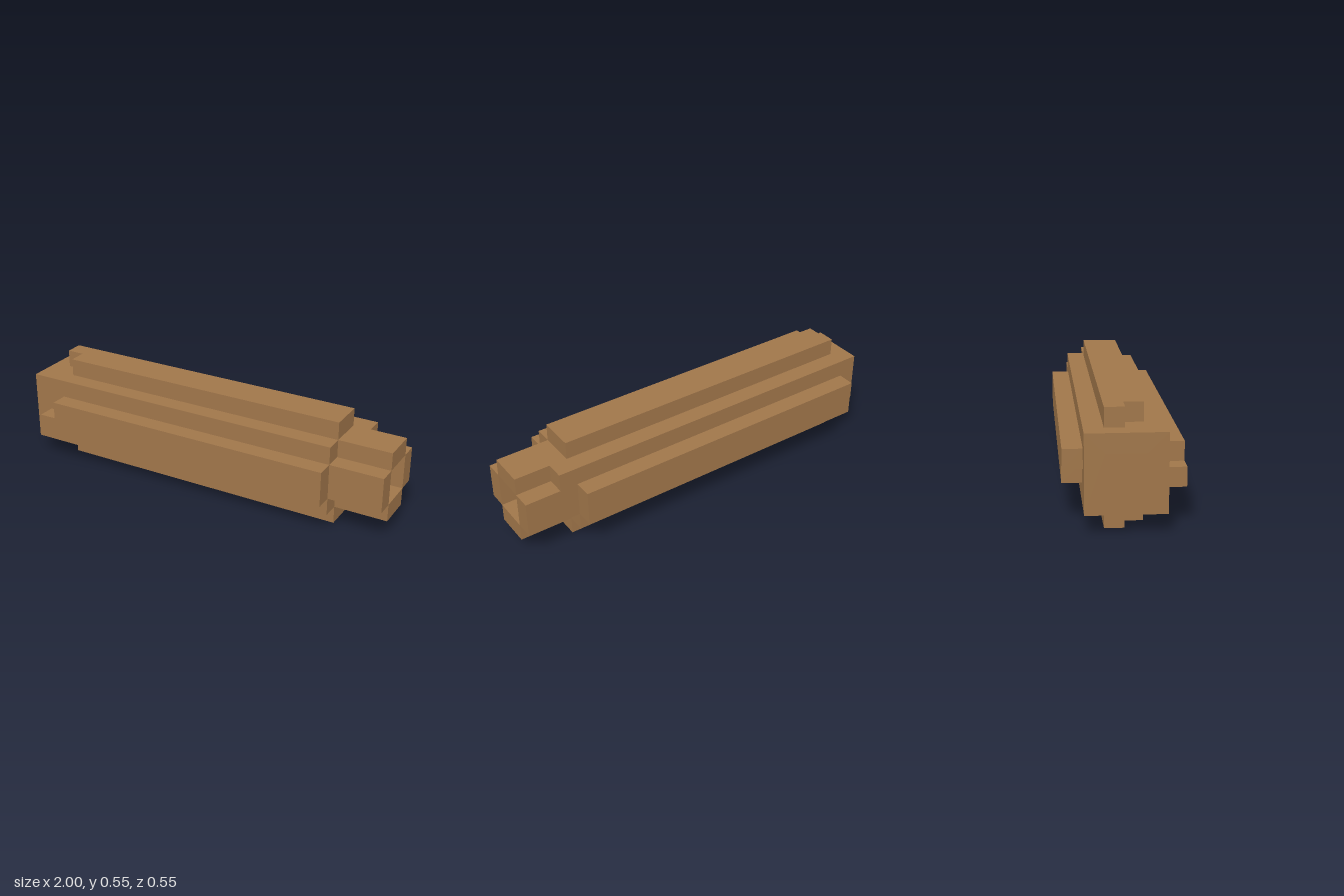
import * as THREE from 'three';

const U = 2 / 22; // one voxel

export function createModel() {
  const log = new THREE.Group();
  log.name = 'log';
  const bark = new THREE.MeshStandardMaterial({ color: 0xa0764a });
  bark.name = 'bark brown';

  // All parts are laid out in voxels: length 0..22 along x, cross-section centred on the axis
  const body = new THREE.Group();
  body.name = 'logBody';
  body.scale.setScalar(U);
  body.position.set(-1, 3 * U, 0);
  log.add(body);

  const add = (name, geometry) => {
    const mesh = new THREE.Mesh(geometry, bark);
    mesh.name = name;
    body.add(mesh);
    return mesh;
  };
  const box = (name, x0, x1, y0, y1, z0, z1) =>
    add(name, new THREE.BoxGeometry(x1 - x0, y1 - y0, z1 - z0)
      .translate((x0 + x1) / 2, (y0 + y1) / 2, (z0 + z1) / 2));
  const outline = (points) => points.map(([x, y]) => new THREE.Vector2(x, y));
  const square = (r) => outline([[-r, -r], [r, -r], [r, r], [-r, r]]);

  // Square trunk with a hollow at the right end
  const trunk = new THREE.Shape(square(2));
  trunk.holes.push(new THREE.Path(square(1).reverse()));
  add('trunk', new THREE.ExtrudeGeometry(trunk, { depth: 19, bevelEnabled: false })
    .rotateY(Math.PI / 2));
  box('heartwood', 0, 18, -1, 1, -1, 1);
  box('hollowStep', 18, 19, 0, 1, -1, 1);

  // Four staves around the open end, and one leftover corner
  box('topStave', 19, 22, 1, 2, -1, 1);
  box('bottomStave', 19, 22, -2, -1, -1, 1);
  box('frontStave', 19, 22, -1, 1, 1, 2);
  box('backStave', 19, 22, -1, 1, -2, -1);
  box('cornerChip', 19, 20, 1, 2, -2, -1);

  // Bark ridges, each notched at the left end
  const ridge = (name, angle, side) => {
    const shape = new THREE.Shape(outline([
      [1, -side], [19, -side], [19, side], [2, side], [2, 0], [1, 0],
    ]));
    add(name, new THREE.ExtrudeGeometry(shape, { depth: 1, bevelEnabled: false })
      .translate(0, 0, 2).rotateX(angle));
  };
  ridge('frontRidge', 0, 1);
  ridge('topRidge', -Math.PI / 2, -1);
  ridge('backRidge', Math.PI, 1);
  ridge('bottomRidge', Math.PI / 2, 1);

  return log;
}
